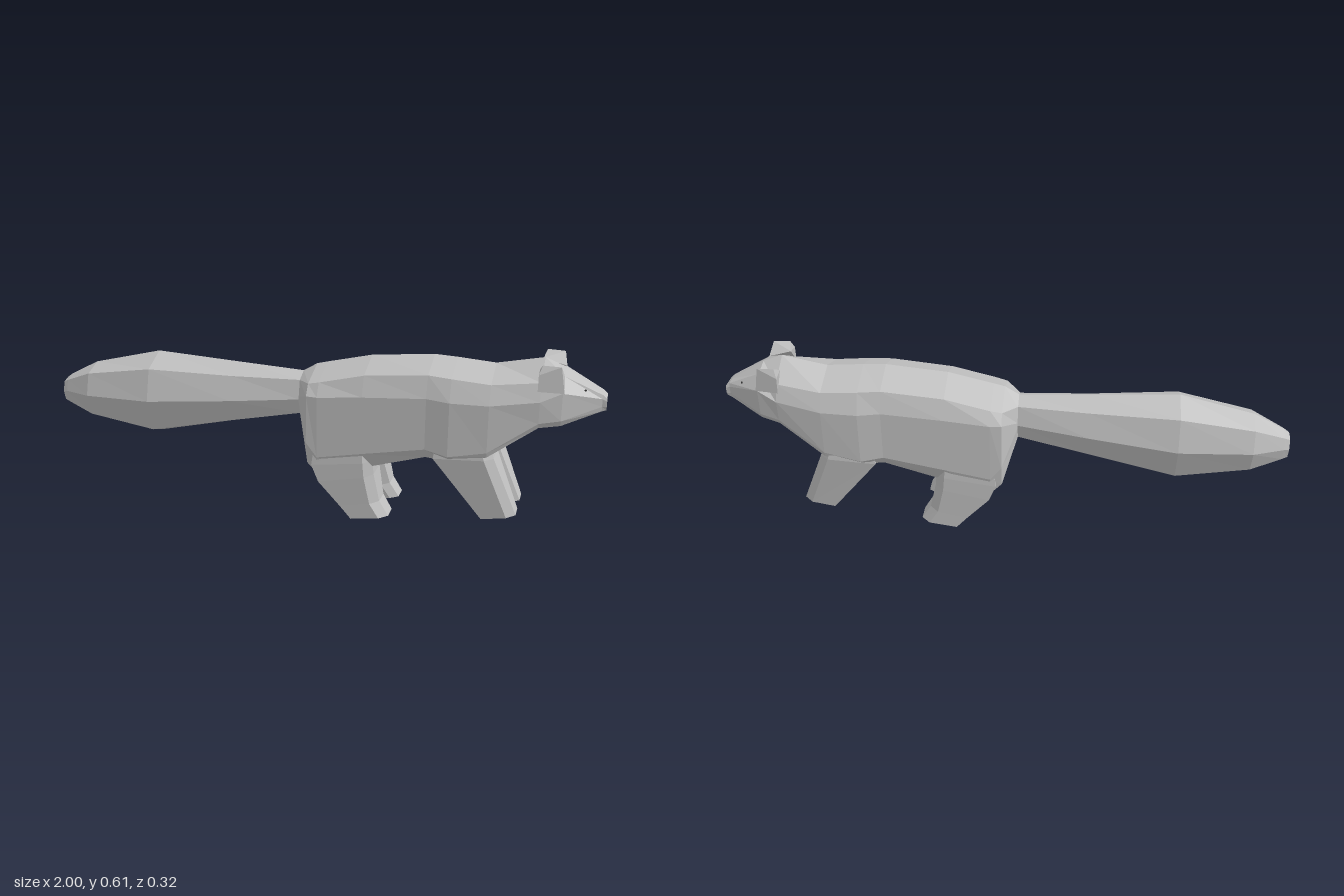
import * as THREE from 'three';
import { ConvexGeometry } from 'three/addons/geometries/ConvexGeometry.js';

// Skin a list of rings (each counter-clockwise seen from the end) and cap both ends
function loft(rings) {
  const pos = [];
  const tri = (...pts) => pts.forEach((p) => pos.push(...p));
  const n = rings[0].length;
  for (let r = 0; r < rings.length - 1; r++) {
    const a = rings[r], b = rings[r + 1];
    for (let i = 0; i < n; i++) {
      const j = (i + 1) % n;
      tri(a[i], a[j], b[j]);
      tri(a[i], b[j], b[i]);
    }
  }
  const centre = (ring) => [0, 1, 2].map((k) => ring.reduce((s, p) => s + p[k], 0) / n);
  const first = rings[0], last = rings[rings.length - 1];
  for (let i = 0; i < n; i++) {
    const j = (i + 1) % n;
    tri(centre(first), first[j], first[i]);
    tri(centre(last), last[i], last[j]);
  }
  const g = new THREE.BufferGeometry();
  g.setAttribute('position', new THREE.Float32BufferAttribute(pos, 3));
  g.computeVertexNormals();
  return g;
}

// Full symmetric ring from half a profile of [z, y], top centre to bottom centre
function ring(x, half) {
  const left = half.map(([z, y]) => [x, y, z]);
  const right = half.slice(1, -1).reverse().map(([z, y]) => [x, y, -z]);
  return [...left, ...right];
}

// Leg ring with bevelled front corners: back x/y, front x/y, inner and outer z
function legRing([x0, y0, x1, y1, zi, zo], side) {
  const xm = x1 - 0.03, ym = y1 + (y0 - y1) * 0.2;
  const pts = [
    [x0, y0, zi], [x0, y0, zo], [xm, ym, zo],
    [x1, y1, zo - 0.026], [x1, y1, zi + 0.016], [xm, ym, zi],
  ].map(([x, y, z]) => [x, y, z * side]);
  return side > 0 ? pts : pts.reverse();
}

export function createModel() {
  const group = new THREE.Group();
  const fur = new THREE.MeshStandardMaterial({ color: 0xc0c0c0, flatShading: true });
  fur.name = 'grey fur';
  const dark = new THREE.MeshStandardMaterial({ color: 0x303030 });
  dark.name = 'dark eye';
  const add = (name, geometry, material = fur) => {
    const mesh = new THREE.Mesh(geometry, material);
    mesh.name = name;
    group.add(mesh);
    return mesh;
  };

  // Bushy tail
  add('tail', loft([
    ring(-1, [[0, 0.385], [0.03, 0.375], [0.04, 0.34], [0.03, 0.305], [0, 0.3]]),
    ring(-0.98, [[0, 0.4], [0.038, 0.385], [0.05, 0.345], [0.038, 0.3], [0, 0.293]]),
    ring(-0.87, [[0, 0.457], [0.075, 0.43], [0.098, 0.35], [0.07, 0.27], [0, 0.25]]),
    ring(-0.61, [[0, 0.52], [0.1, 0.475], [0.13, 0.36], [0.09, 0.24], [0, 0.21]]),
    ring(-0.3, [[0, 0.503], [0.07, 0.467], [0.095, 0.38], [0.07, 0.3], [0, 0.28]]),
    ring(-0.05, [[0, 0.49], [0.05, 0.468], [0.065, 0.4], [0.05, 0.345], [0, 0.33]]),
  ]));

  // Rump, trunk, chest and neck
  const neck = ring(0.79, [[0, 0.605], [0.105, 0.545], [0.127, 0.485], [0.122, 0.41], [0.114, 0.393], [0, 0.362]]);
  add('body', loft([
    ring(-0.05, [[0, 0.49], [0.05, 0.468], [0.065, 0.41], [0.065, 0.39], [0.05, 0.345], [0, 0.33]]),
    ring(0, [[0, 0.52], [0.115, 0.478], [0.142, 0.44], [0.145, 0.27], [0.127, 0.19], [0, 0.19]]),
    ring(0.04, [[0, 0.53], [0.12, 0.487], [0.147, 0.44], [0.147, 0.22], [0.13, 0.15], [0, 0.147]]),
    ring(0.2, [[0, 0.567], [0.12, 0.525], [0.147, 0.455], [0.147, 0.25], [0.122, 0.19], [0, 0.175]]),
    ring(0.42, [[0, 0.587], [0.122, 0.545], [0.147, 0.47], [0.147, 0.29], [0.125, 0.255], [0, 0.222]]),
    ring(0.5, [[0, 0.583], [0.128, 0.54], [0.158, 0.465], [0.158, 0.275], [0.13, 0.25], [0, 0.235]]),
    ring(0.63, [[0, 0.573], [0.125, 0.53], [0.152, 0.465], [0.15, 0.3], [0.145, 0.283], [0, 0.26]]),
    neck,
  ]));

  // Tapered head ending in a blunt nose
  add('head', loft([
    neck,
    ring(0.86, [[0, 0.578], [0.065, 0.562], [0.106, 0.515], [0.104, 0.42], [0.092, 0.4], [0, 0.372]]),
    ring(0.985, [[0, 0.5], [0.034, 0.5], [0.038, 0.487], [0.036, 0.46], [0.032, 0.443], [0, 0.435]]),
    ring(1, [[0, 0.487], [0.034, 0.487], [0.036, 0.48], [0.035, 0.46], [0.028, 0.447], [0, 0.445]]),
  ]));

  // Legs, ears and eyes, mirrored across z
  const hind = [
    [0.165, 0, 0.295, 0.017, 0.042, 0.146],
    [0.125, 0.045, 0.262, 0.07, 0.036, 0.146],
    [0.045, 0.13, 0.24, 0.17, 0.012, 0.147],
    [0.02, 0.19, 0.235, 0.22, 0.004, 0.146],
    [0.03, 0.27, 0.23, 0.28, 0.004, 0.14],
  ];
  const front = [
    [0.62, 0.047, 0.735, 0.065, 0.02, 0.123],
    [0.45, 0.26, 0.652, 0.272, 0.002, 0.147],
    [0.46, 0.33, 0.635, 0.33, 0.002, 0.14],
  ];
  const ear = [
    [0.86, 0.562, 0.065], [0.865, 0.515, 0.106], [0.85, 0.603, 0.105], [0.79, 0.605, 0.107],
    [0.78, 0.583, 0.07], [0.78, 0.575, 0.121], [0.78, 0.52, 0.124],
  ];
  for (const [side, label] of [[1, 'right'], [-1, 'left']]) {
    add(`${label}HindLeg`, loft(hind.map((r) => legRing(r, side))));
    add(`${label}FrontLeg`, loft(front.map((r) => legRing(r, side))));
    add(`${label}Ear`, new ConvexGeometry(ear.map(([x, y, z]) => new THREE.Vector3(x, y, z * side))));
    add(`${label}Eye`, new THREE.SphereGeometry(0.004, 8, 6), dark).position.set(0.929, 0.518, 0.057 * side);
  }
  return group;
}
